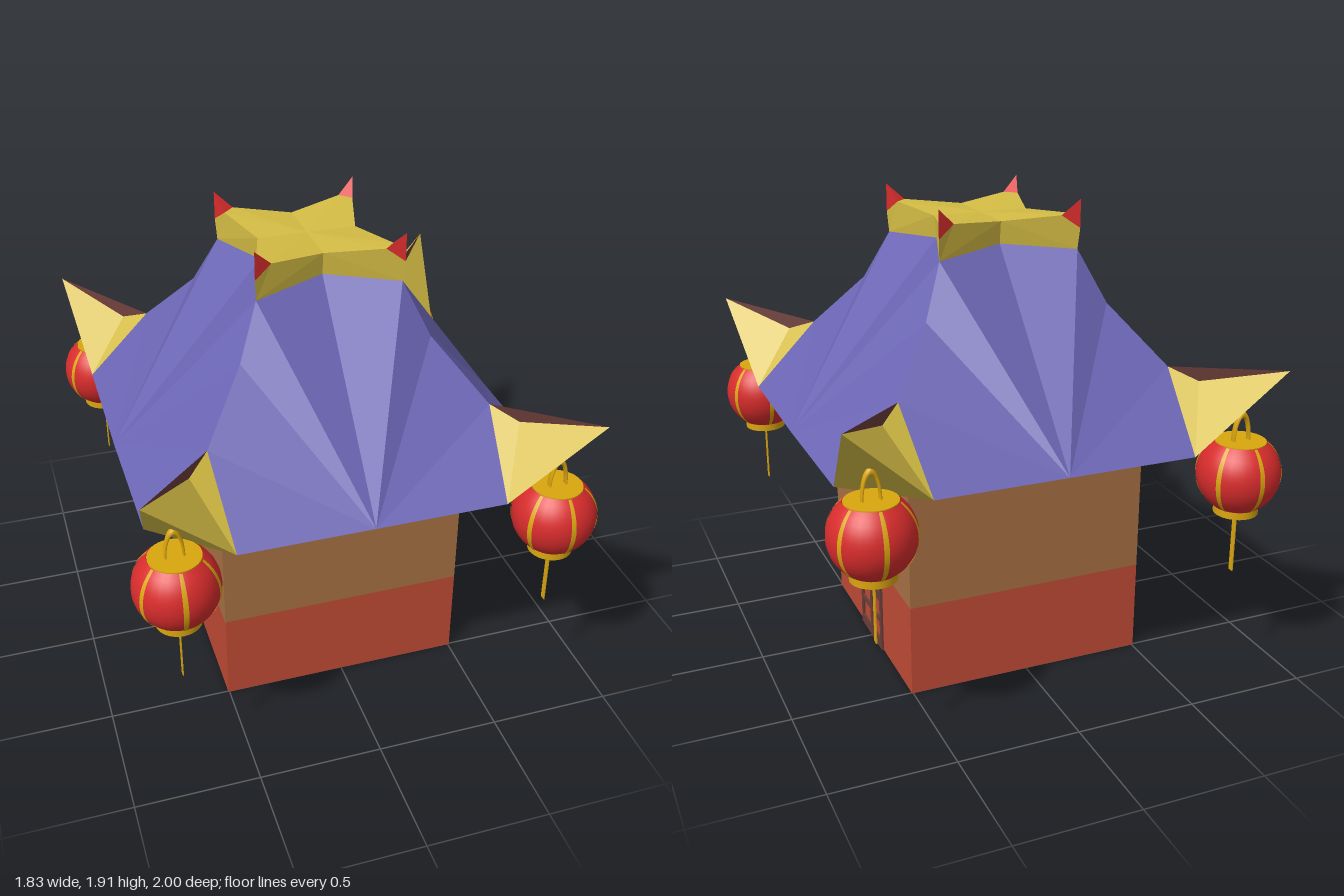
import * as THREE from 'three';

const mat = (name, color, side = THREE.FrontSide) => {
  const m = new THREE.MeshStandardMaterial({ color, side });
  m.name = name;
  return m;
};

// Corner points of one quadrant (+x, +z); the other three are mirrored
const P = {
  centreLow: [0, 1.0, 0], eaveZ: [0, 1.005, 0.865], eaveX: [0.825, 1.0, 0],
  cutZ: [0.53, 1.005, 0.865], cutX: [0.82, 1.0, 0.605],
  hip1: [0.56, 1.28, 0.58], hip2: [0.38, 1.51, 0.39], hip3: [0.29, 1.715, 0.3],
  midZ: [0, 1.74, 0.2], midX: [0.19, 1.74, 0],
  tip: [0.875, 1.33, 0.94], dip: [0.65, 1.235, 0.67],
  capZ: [0, 1.83, 0.21], capX: [0.2, 1.83, 0], capTop: [0, 1.83, 0],
  capCorner: [0.295, 1.8, 0.31], hornZ: [0.225, 1.85, 0.285],
  hornX: [0.27, 1.85, 0.24], hornTip: [0.295, 1.915, 0.31],
};

// Triangles by point name
const ROOF = [
  'eaveZ cutZ hip1', 'eaveZ hip1 hip2', 'eaveZ hip2 hip3', 'eaveZ hip3 midZ',
  'eaveX hip1 cutX', 'eaveX hip2 hip1', 'eaveX hip3 hip2', 'eaveX midX hip3',
  'cutZ cutX hip1',
  'centreLow eaveX cutX', 'centreLow cutX cutZ', 'centreLow cutZ eaveZ',
];
const EAVE = ['cutZ tip dip', 'cutZ dip hip1', 'cutX dip tip', 'cutX hip1 dip', 'cutZ cutX tip'];
const FIN = ['dip tip hip1'];
const CAP = [
  'hip3 capCorner hornZ', 'hip3 hornZ capZ', 'hip3 capZ midZ',
  'hip3 hornX capCorner', 'hip3 capX hornX', 'hip3 midX capX',
  'capTop capZ hornZ', 'capTop hornZ hornX', 'capTop hornX capX',
];
const HORN = ['capCorner hornTip hornZ', 'capCorner hornX hornTip', 'hornZ hornTip hornX'];

// Flat-shaded faces repeated in all four quadrants, winding kept outward
function fourfold(faces) {
  const pos = [];
  for (const sx of [1, -1]) for (const sz of [1, -1]) {
    for (const face of faces) {
      const names = face.split(' ');
      if (sx * sz < 0) names.reverse();
      for (const n of names) pos.push(P[n][0] * sx, P[n][1], P[n][2] * sz);
    }
  }
  const g = new THREE.BufferGeometry();
  g.setAttribute('position', new THREE.Float32BufferAttribute(pos, 3));
  g.computeVertexNormals();
  return g;
}

export function createModel() {
  const model = new THREE.Group();
  const both = THREE.DoubleSide;
  const blue = mat('roofBlue', 0x6c66b5, both);
  const gold = mat('trimGold', 0xd4bc44, both);
  const tan = mat('wallTan', 0xa87144);
  const brick = mat('wallRed', 0xc04b36);
  const wood = mat('darkWood', 0x6b3d38, both);
  const red = mat('lanternRed', 0xd92c2c, both);
  const brass = mat('lanternGold', 0xdaa60f, both);

  const add = (parent, name, geo, material, x = 0, y = 0, z = 0) => {
    const m = new THREE.Mesh(geo, material);
    m.name = name;
    m.position.set(x, y, z);
    parent.add(m);
    return m;
  };

  // Walls
  add(model, 'lowerWall', new THREE.BoxGeometry(1.01, 0.385, 1.01), brick, 0, 0.1925, 0);
  add(model, 'upperWall', new THREE.BoxGeometry(1.01, 0.61, 1.01), tan, 0, 0.69, 0);

  // Lattice door on the left wall
  const frame = new THREE.Shape();
  frame.moveTo(-0.14, 0).lineTo(0.14, 0).lineTo(0.14, 0.49).lineTo(-0.14, 0.49).closePath();
  for (const x of [-0.118, 0.012]) for (const y of [0.043, 0.144, 0.267, 0.37]) {
    const hole = new THREE.Path();
    hole.moveTo(x, y).lineTo(x, y + 0.082).lineTo(x + 0.106, y + 0.082).lineTo(x + 0.106, y).closePath();
    frame.holes.push(hole);
  }
  const doorGeo = new THREE.ExtrudeGeometry(frame, { depth: 0.009, bevelEnabled: false });
  add(model, 'door', doorGeo, wood, 0.505, 0, 0).rotation.y = Math.PI / 2;

  // Roof, upturned eave corners, star cap and horns
  add(model, 'roof', fourfold(ROOF), blue);
  add(model, 'eaveCorners', fourfold(EAVE), gold);
  add(model, 'eaveFins', fourfold(FIN), wood);
  add(model, 'roofCap', fourfold(CAP), gold);
  add(model, 'capHorns', fourfold(HORN), red);

  // Lanterns
  const profile = (r) => {
    const pts = [];
    for (let i = 0; i <= 14; i++) {
      const y = -0.137 + (0.267 * i) / 14;
      pts.push(new THREE.Vector2(Math.sqrt(r * r - y * y), y));
    }
    return pts;
  };
  const bodyGeo = new THREE.LatheGeometry(profile(0.165), 32);
  const ribGeo = new THREE.LatheGeometry(profile(0.167), 2, -0.06, 0.12);
  const capGeo = new THREE.CylinderGeometry(0.1, 0.1, 0.006, 32);
  const ringGeo = new THREE.CylinderGeometry(0.088, 0.088, 0.035, 32, 1, true);
  const floorGeo = new THREE.CylinderGeometry(0.09, 0.09, 0.004, 32);
  const handleGeo = new THREE.TorusGeometry(0.034, 0.005, 8, 20, Math.PI).scale(1, 3.2, 3);
  const tasselGeo = new THREE.BoxGeometry(0.004, 0.27, 0.025);

  for (const sx of [1, -1]) for (const sz of [1, -1]) {
    const lantern = new THREE.Group();
    lantern.name = 'lantern';
    lantern.position.set(0.75 * sx, 0.9, 0.835 * sz);
    add(lantern, 'lanternBody', bodyGeo, red);
    for (let i = 0; i < 6; i++) {
      add(lantern, 'lanternRib', ribGeo, brass).rotation.y = (i * Math.PI) / 3;
    }
    add(lantern, 'lanternTop', capGeo, brass, 0, 0.13, 0);
    add(lantern, 'lanternRing', ringGeo, brass, 0, -0.152, 0);
    add(lantern, 'lanternFloor', floorGeo, red, 0, -0.137, 0);
    add(lantern, 'lanternHandle', handleGeo, brass, 0, 0.13, 0);
    add(lantern, 'lanternTassel', tasselGeo, brass, 0, -0.295, 0);
    model.add(lantern);
  }
  return model;
}
